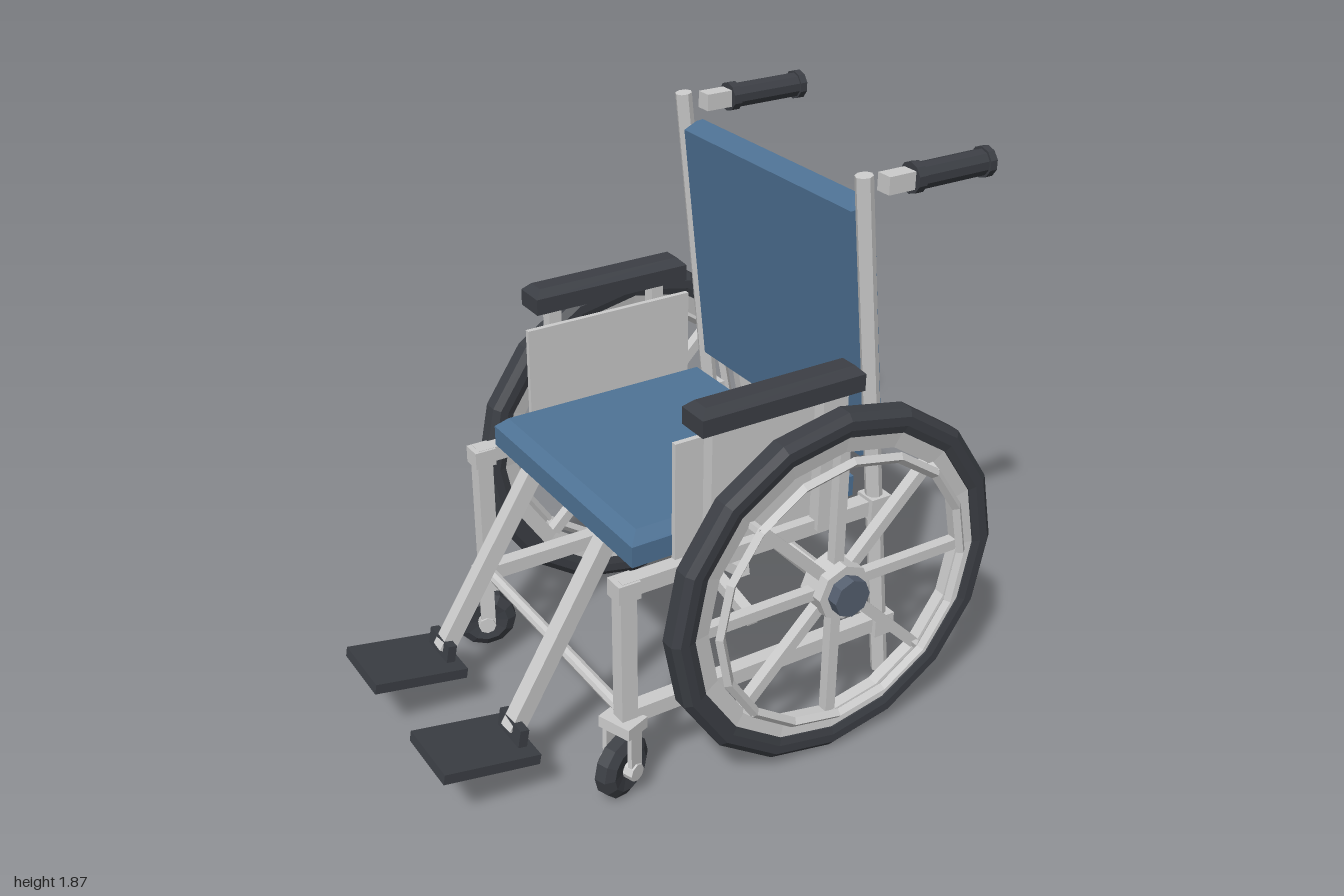
import * as THREE from 'three';

const mat = (color) => new THREE.MeshStandardMaterial({ color, flatShading: true });
const metal = mat(0xcccccc);
const fabric = mat(0x4f7396);
const rubber = mat(0x3c3f45);
const capMat = mat(0x566070);

const V = (x, y, z) => new THREE.Vector3(x, y, z);

function add(parent, name, geo, material, x = 0, y = 0, z = 0) {
  const m = new THREE.Mesh(geo, material);
  m.name = name;
  m.position.set(x, y, z);
  parent.add(m);
  return m;
}

const box = (parent, name, material, w, h, d, x, y, z) =>
  add(parent, name, new THREE.BoxGeometry(w, h, d), material, x, y, z);

// Box whose top edges are chamfered by c
function pad(w, h, d, c) {
  const g = new THREE.BoxGeometry(w, h, d, 1, 2, 1);
  const p = g.attributes.position;
  for (let i = 0; i < p.count; i++) {
    const y = p.getY(i);
    if (Math.abs(y) < 1e-4) p.setY(i, h / 2 - c);
    else if (y > 0) {
      p.setX(i, p.getX(i) - Math.sign(p.getX(i)) * c);
      p.setZ(i, p.getZ(i) - Math.sign(p.getZ(i)) * c);
    }
  }
  return g;
}

// Round tube (sides > 0) or square bar (sides = 0) between two points
function bar(parent, name, a, b, size, sides = 0) {
  const len = a.distanceTo(b);
  const g = sides
    ? new THREE.CylinderGeometry(size / 2, size / 2, len, sides)
    : new THREE.BoxGeometry(size, len, size);
  const m = add(parent, name, g, metal);
  m.position.copy(a).add(b).multiplyScalar(0.5);
  m.quaternion.setFromUnitVectors(V(0, 1, 0), b.clone().sub(a).normalize());
  return m;
}

// Closed ring profile [radius, offset] turned around the x axis
function ring(profile, sides) {
  const pts = [...profile, profile[0]].map(([r, o]) => new THREE.Vector2(r, o));
  return new THREE.LatheGeometry(pts, sides).rotateZ(-Math.PI / 2);
}

const disc = (r, w, sides) => new THREE.CylinderGeometry(r, r, w, sides).rotateZ(-Math.PI / 2);

// Large rear wheel; s is the outward direction along x
function rearWheel(s) {
  const g = new THREE.Group();
  g.name = 'rearWheel';
  add(g, 'tire', ring([[0.53, -0.035], [0.555, -0.042], [0.585, -0.042], [0.607, -0.024],
    [0.607, 0.024], [0.585, 0.042], [0.555, 0.042], [0.53, 0.035]], 16), rubber);
  add(g, 'rim', ring([[0.475, -0.02], [0.532, -0.03], [0.532, 0.03], [0.475, 0.02]], 16), metal);
  add(g, 'handRim', ring([[0.44, 0], [0.458, -0.016], [0.476, 0], [0.458, 0.016]], 16), metal, s * 0.057);
  add(g, 'hub', disc(0.095, 0.1, 8), metal, s * 0.005);
  add(g, 'hubCap', disc(0.065, 0.05, 8), capMat, s * 0.07);
  for (let i = 0; i < 8; i++) {
    const a = (i * Math.PI) / 4;
    const at = (r, x) => V(x, Math.sin(a) * r, Math.cos(a) * r);
    bar(g, 'spoke', at(0.07, 0), at(0.49, 0), 0.036);
    if (i % 2) bar(g, 'handRimBracket', at(0.475, 0), at(0.46, s * 0.06), 0.02);
  }
  return g;
}

// Swivelling front caster
function caster() {
  const g = new THREE.Group();
  g.name = 'caster';
  add(g, 'casterTire', ring([[0.03, -0.03], [0.075, -0.038], [0.105, -0.02],
    [0.105, 0.02], [0.075, 0.038], [0.03, 0.03]], 12), rubber, 0, 0.105, 0.01);
  add(g, 'casterAxle', disc(0.03, 0.13, 8), metal, 0, 0.105, 0.01);
  for (const s of [-1, 1]) box(g, 'forkArm', metal, 0.016, 0.16, 0.05, s * 0.05, 0.175, 0.005);
  box(g, 'forkCrown', metal, 0.12, 0.04, 0.09, 0, 0.265, 0);
  return g;
}

export function createModel() {
  const model = new THREE.Group();
  model.name = 'wheelchair';
  const chair = new THREE.Group();
  chair.name = 'chair';
  chair.rotation.y = -0.175;
  chair.position.set(-0.049, 0, -0.009);
  model.add(chair);

  // Upholstery
  add(chair, 'seat', pad(0.89, 0.105, 0.81, 0.035), fabric, 0, 0.8425, -0.067);
  const back = add(chair, 'backrest', pad(0.89, 0.86, 0.085, 0.03), fabric, 0, 1.357, -0.487);
  back.rotation.x = 0.112;

  for (const s of [-1, 1]) {
    // Wheels
    const wheel = rearWheel(s);
    wheel.position.set(s * 0.61, 0.61, -0.287);
    chair.add(wheel);
    const c = caster();
    c.position.set(s * 0.47, 0, 0.39);
    c.rotation.y = s * 0.35;
    chair.add(c);

    // Side frame
    const x = s * 0.47;
    const postAt = (y) => V(s * 0.475, y, -0.61 + (y - 0.09) * 0.11);
    bar(chair, 'backPost', postAt(0.09), postAt(1.865), 0.056, 8);
    bar(chair, 'frontLeg', V(x, 0.25, 0.38), V(x, 0.78, 0.38), 0.055);
    bar(chair, 'upperRail', V(x, 0.755, 0.4), V(x, 0.755, -0.56), 0.052);
    bar(chair, 'lowerRail', V(x, 0.29, 0.38), V(x, 0.29, -0.6), 0.052);
    box(chair, 'legClamp', metal, 0.07, 0.06, 0.075, x, 0.75, 0.38);
    for (const y of [0.29, 0.755]) {
      const p = postAt(y);
      box(chair, 'postClamp', metal, 0.075, 0.075, 0.075, p.x, p.y, p.z);
    }

    // Armrest with posts and side guard
    add(chair, 'armrest', pad(0.11, 0.08, 0.575, 0.025), rubber, s * 0.495, 1.26, -0.122);
    for (const z of [0.085, -0.31])
      bar(chair, 'armrestPost', V(s * 0.49, 0.75, z), V(s * 0.49, 1.225, z), 0.045);
    box(chair, 'sideGuard', metal, 0.018, 0.44, 0.62, s * 0.452, 0.95, -0.11);

    // Push handle
    box(chair, 'handleStem', metal, 0.055, 0.055, 0.12, s * 0.472, 1.825, -0.55);
    for (const [r, len, z] of [[0.041, 0.28, -0.735], [0.048, 0.03, -0.6], [0.048, 0.025, -0.865]]) {
      const grip = new THREE.CylinderGeometry(r, r, len, 10).rotateX(Math.PI / 2);
      add(chair, 'handleGrip', grip, rubber, s * 0.472, 1.825, z);
    }

    // Footrest
    bar(chair, 'footrestHanger', V(s * 0.24, 0.79, 0.3), V(s * 0.25, 0.2, 0.66), 0.055);
    const foot = new THREE.Group();
    foot.name = 'footrest';
    foot.position.set(s * 0.257, 0.188, 0.79);
    foot.rotation.x = -0.18;
    box(foot, 'footplate', rubber, 0.245, 0.035, 0.325, 0, 0, 0);
    box(foot, 'heelStop', rubber, 0.14, 0.065, 0.03, 0, 0.045, -0.125);
    chair.add(foot);

    // Crossing brace under the seat
    bar(chair, 'crossBrace', V(-0.45, 0.55 - s * 0.1, -0.08 + s * 0.02),
      V(0.45, 0.55 + s * 0.1, -0.08 + s * 0.02), 0.038);
  }

  // Cross tubes
  bar(chair, 'axleTube', V(-0.6, 0.61, -0.287), V(0.6, 0.61, -0.287), 0.06, 8);
  bar(chair, 'frontCrossTube', V(-0.48, 0.29, 0.38), V(0.48, 0.29, 0.38), 0.042, 8);
  bar(chair, 'rearCrossTube', V(-0.47, 0.29, -0.588), V(0.47, 0.29, -0.588), 0.042, 8);

  return model;
}
